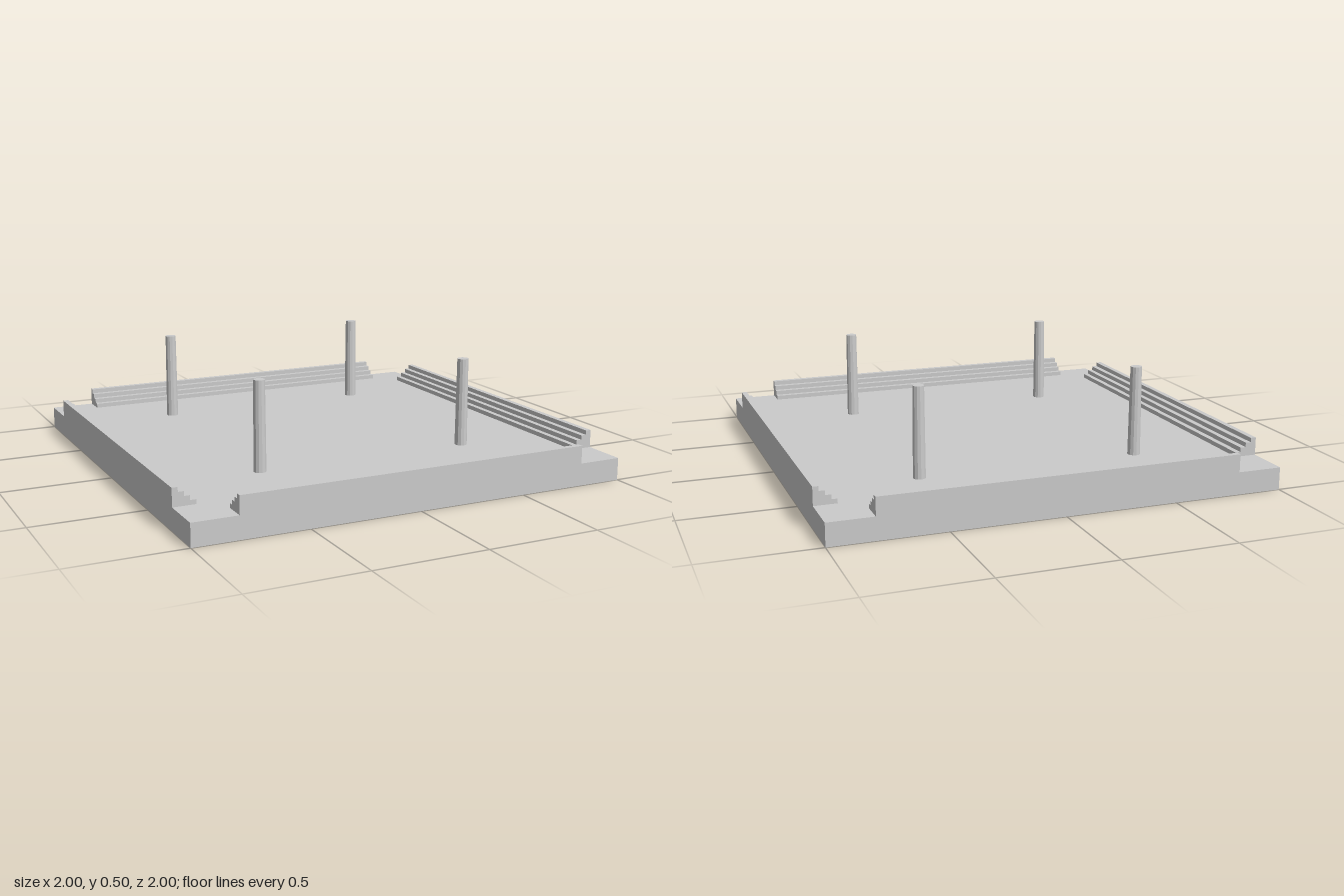
import * as THREE from 'three';

const material = new THREE.MeshStandardMaterial({ color: 0xcccccc, flatShading: true });

function addMesh(parent, name, geometry) {
  const mesh = new THREE.Mesh(geometry, material);
  mesh.name = name;
  parent.add(mesh);
  return mesh;
}

// Stepped cross-section: tall at the outer edge, descending inward
function stairGeometry(steps, tread, rise, length) {
  const shape = new THREE.Shape();
  shape.moveTo(0, 0);
  shape.lineTo(steps * tread, 0);
  for (let i = steps; i > 0; i--) {
    const y = (steps - i + 1) * rise;
    shape.lineTo(i * tread, y);
    shape.lineTo((i - 1) * tread, y);
  }
  shape.closePath();
  const geometry = new THREE.ExtrudeGeometry(shape, { depth: length, bevelEnabled: false });
  return geometry.translate(-1, 0, -length / 2);
}

export function createModel() {
  const model = new THREE.Group();
  model.name = 'arena';

  // Floor slab
  const floorHeight = 0.1;
  addMesh(model, 'floor', new THREE.BoxGeometry(2, floorHeight, 2)).position.y = floorHeight / 2;

  // One stepped stand along each side
  const stand = stairGeometry(4, 0.025, 0.02, 1.6);
  ['rightStand', 'frontStand', 'leftStand', 'backStand'].forEach((name, i) => {
    const mesh = addMesh(model, name, stand);
    mesh.position.y = floorHeight;
    mesh.rotation.y = i * Math.PI / 2;
  });

  // Four slightly tapered posts
  const postHeight = 0.4;
  const post = new THREE.CylinderGeometry(0.025, 0.028, postHeight, 12);
  for (const [end, z] of [['front', 0.5], ['back', -0.6]]) {
    for (const [side, x] of [['Left', 0.5], ['Right', -0.5]]) {
      addMesh(model, `${end}${side}Post`, post).position.set(x, floorHeight + postHeight / 2, z);
    }
  }

  return model;
}
